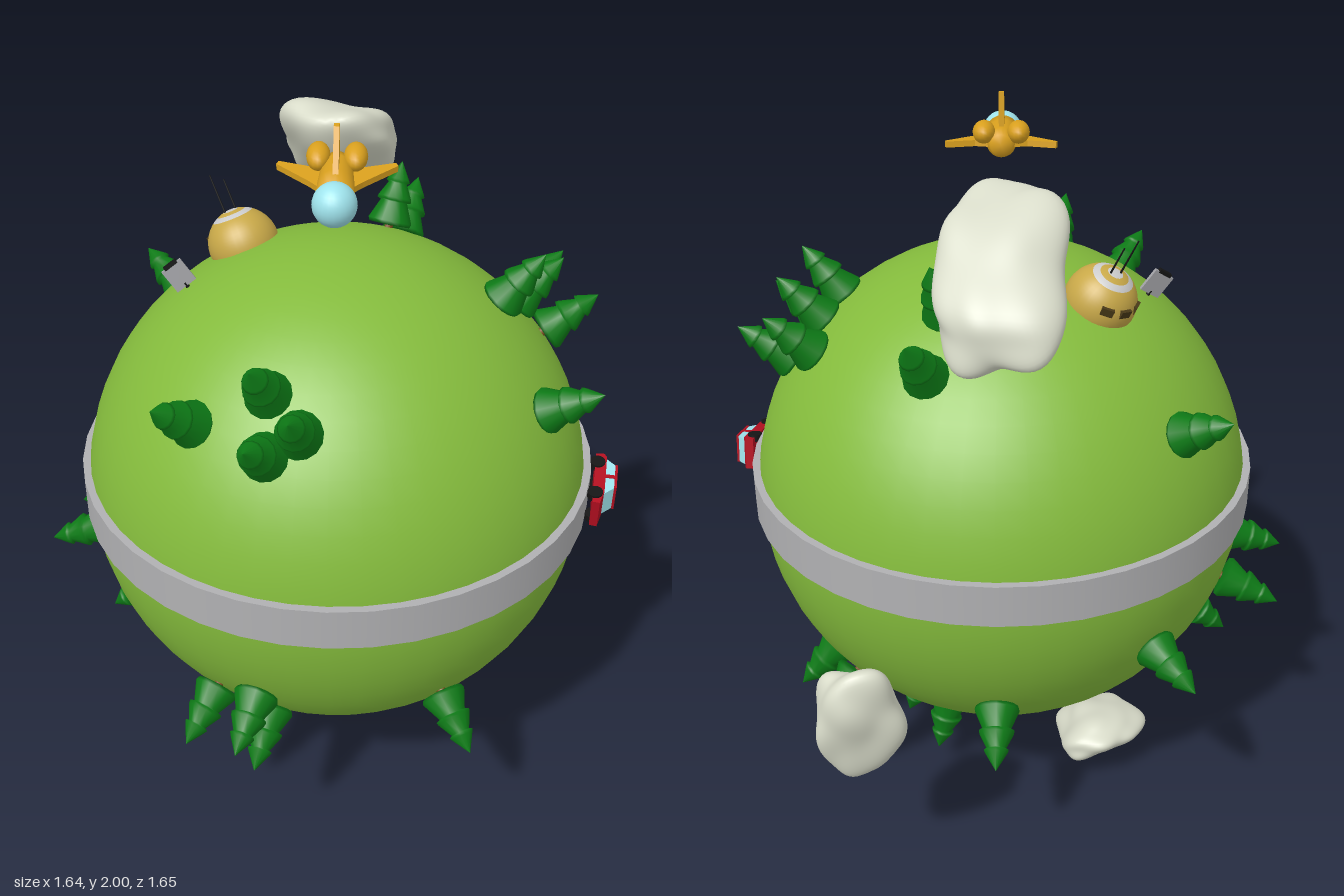
import * as THREE from 'three';
import { mergeVertices } from 'three/addons/utils/BufferGeometryUtils.js';

const R = 0.705;
const UP = new THREE.Vector3(0, 1, 0);
const mat = (color, extra = {}) => new THREE.MeshStandardMaterial({ color, ...extra });
const M = {
  grass: mat(0x84bb3c), road: mat(0xb0b0b2), leaf: mat(0x0d7a16), bark: mat(0x7a4a1e),
  cloud: mat(0xd9dcca), gold: mat(0xd9a01e), glass: mat(0x9fe3ec), red: mat(0xb30f20),
  black: mat(0x151515), sand: mat(0xc8a848), white: mat(0xdadad6), grey: mat(0xa2a2a6), dark: mat(0x4a3a18),
};

function add(parent, name, geo, material, x = 0, y = 0, z = 0) {
  const m = new THREE.Mesh(geo, material);
  m.name = name;
  m.position.set(x, y, z);
  parent.add(m);
  return m;
}

function group(parent, name) {
  const g = new THREE.Group();
  g.name = name;
  parent.add(g);
  return g;
}

// Stand an object on the globe, its y axis pointing away from the centre
function stand(obj, dir, radius, twist = 0) {
  const d = new THREE.Vector3(...dir).normalize();
  obj.quaternion.setFromUnitVectors(UP, d);
  obj.rotateY(twist);
  obj.position.copy(d).multiplyScalar(radius);
  return obj;
}

const lathe = (pts, seg) => new THREE.LatheGeometry(pts.map(p => new THREE.Vector2(...p)), seg);
const shape = pts => new THREE.Shape(pts.map(p => new THREE.Vector2(...p)));

// Side profile given as (z, y), extruded across x
function sideProfile(pts, width) {
  const g = new THREE.ExtrudeGeometry(shape(pts), { depth: width, bevelEnabled: false });
  return g.translate(0, 0, -width / 2).rotateY(-Math.PI / 2);
}

// Lumpy boulder-like cloud: a sphere pushed out by seeded rounded bumps
function cloudGeometry(seed, sx, sy, sz) {
  let s = seed;
  const rnd = () => (s = (s * 16807) % 2147483647) / 2147483647;
  const bumps = Array.from({ length: 34 }, () => ({
    d: new THREE.Vector3(rnd() - 0.5, rnd() - 0.5, rnd() - 0.5).normalize(), h: 0.06 + 0.13 * rnd(),
  }));
  let g = new THREE.IcosahedronGeometry(1, 14);
  g.deleteAttribute('uv');
  g.deleteAttribute('normal');
  g = mergeVertices(g);
  const p = g.attributes.position, v = new THREE.Vector3();
  for (let i = 0; i < p.count; i++) {
    v.fromBufferAttribute(p, i).normalize();
    let r = 0.84;
    for (const b of bumps) r += b.h * Math.exp((v.dot(b.d) - 1) * 14);
    p.setXYZ(i, v.x * r * sx, v.y * r * sy, v.z * r * sz);
  }
  g.computeVertexNormals();
  return g;
}

function addCar(world) {
  const car = stand(group(world, 'car'), [0.99, 0, 0.155], 0.715);
  car.position.y += 0.03;
  add(car, 'carBody', sideProfile([[-0.095, 0.015], [0.095, 0.015], [0.097, 0.036], [0.05, 0.046],
    [-0.085, 0.046], [-0.097, 0.038]], 0.094), M.red);
  add(car, 'carWindows', sideProfile([[-0.085, 0.044], [0.055, 0.044], [0.025, 0.074], [-0.06, 0.074]], 0.08), M.glass);
  add(car, 'carRoof', new THREE.BoxGeometry(0.084, 0.007, 0.09), M.red, 0, 0.075, -0.017);
  for (const x of [-1, 1]) {
    add(car, 'doorPillar', new THREE.BoxGeometry(0.006, 0.03, 0.012), M.red, x * 0.039, 0.06, -0.015);
    for (const z of [-0.06, 0.06]) {
      add(car, 'wheel', new THREE.CylinderGeometry(0.021, 0.021, 0.02, 16).rotateZ(Math.PI / 2), M.black, x * 0.043, 0.021, z);
    }
  }
}

function addShip(world) {
  const ship = group(world, 'spaceship');
  ship.position.set(0, 0.965, 0.145);
  ship.rotation.x = 0.1;
  add(ship, 'fuselage', lathe([[0, -0.1], [0.028, -0.1], [0.04, -0.06], [0.046, 0.02], [0.048, 0.09], [0, 0.1]], 20)
    .rotateX(Math.PI / 2), M.gold);
  add(ship, 'cockpit', new THREE.SphereGeometry(0.055, 24, 16), M.glass, 0, 0, 0.105);
  add(ship, 'tailFin', sideProfile([[0.06, 0.03], [-0.035, 0.13], [-0.052, 0.13], [-0.05, 0.03]], 0.014), M.gold);
  for (const s of [-1, 1]) {
    const wing = new THREE.ExtrudeGeometry(shape([[0.02, 0.06], [0.065, 0.01], [0.15, -0.07], [0.145, -0.085],
      [0.07, -0.062], [0.02, -0.075]].map(([x, z]) => [s * x, z])), { depth: 0.016, bevelEnabled: false });
    add(ship, 'wing', wing.rotateX(Math.PI / 2), M.gold, 0, 0.006, 0);
    add(ship, 'engine', new THREE.SphereGeometry(0.03, 16, 12).scale(1, 1, 1.7), M.gold, s * 0.046, 0.03, -0.07);
  }
}

function addDomeHouse(world) {
  const house = stand(group(world, 'domeHouse'), [-0.265, 0.63, -0.175], 0.705);
  // Coloured bands from the crown down
  [[0, 0.22, M.white], [0.22, 0.2, M.sand], [0.42, 0.2, M.white], [0.62, 1.2, M.sand]].forEach(([t, len, m]) =>
    add(house, 'domeBand', new THREE.SphereGeometry(0.098, 32, 12, 0, Math.PI * 2, t, len), m));
  for (const [x, z, h] of [[-0.014, 0.008, 0.115], [0.014, -0.008, 0.09]]) {
    add(house, 'antenna', new THREE.CylinderGeometry(0.002, 0.003, h, 6), M.black, x, 0.09 + h / 2, z);
  }
  for (const a of [-0.6, 0, 0.6]) {
    const holder = group(house, 'window');
    holder.rotation.y = Math.PI + 0.66 + a;
    add(holder, 'windowPane', new THREE.BoxGeometry(0.034, 0.022, 0.012), M.dark, 0, 0.035, 0.089);
  }
}

function addHangar(world) {
  const hangar = stand(group(world, 'hangar'), [-0.41, -0.595, 0.04], 0.66, 0.3);
  const arch = new THREE.Shape();
  arch.moveTo(0.092, 0);
  arch.absarc(0, 0, 0.092, 0, Math.PI, false);
  arch.lineTo(-0.08, 0);
  arch.absarc(0, 0, 0.08, Math.PI, 0, true);
  add(hangar, 'hangarShell', new THREE.ExtrudeGeometry(arch, { depth: 0.17, bevelEnabled: false, curveSegments: 24 })
    .translate(0, 0, -0.085), M.sand);
  add(hangar, 'hangarEndWalls', new THREE.CylinderGeometry(0.082, 0.082, 0.15, 24, 1, false, -Math.PI / 2, Math.PI)
    .rotateX(-Math.PI / 2), mat(0xc8a848, { side: THREE.DoubleSide }));
}

export function createModel() {
  const model = new THREE.Group();
  model.name = 'tinyPlanet';
  const world = group(model, 'world');
  world.position.set(0.025, 0.905, 0.055);

  // Globe and the road around its waist
  add(world, 'globe', new THREE.SphereGeometry(R, 48, 32), M.grass);
  add(world, 'road', lathe([[0.68, -0.03], [0.72, -0.03], [0.72, -0.03], [0.72, 0.09], [0.72, 0.09], [0.68, 0.09]], 40), M.road);

  // Trees, by direction from the globe's centre
  const leaves = lathe([[0, 0.015], [0.058, 0.018], [0.062, 0.028], [0.038, 0.082], [0.049, 0.086], [0.047, 0.094],
    [0.026, 0.134], [0.034, 0.138], [0.03, 0.146], [0, 0.195]], 14);
  const trunk = new THREE.CylinderGeometry(0.012, 0.014, 0.06, 8);
  [
    [-0.42, 0.55, 0.545], [-0.185, 0.663, 0.548], [-0.19, 0.53, 0.676], [-0.09, 0.59, 0.646],
    [0.545, 0.711, 0.005], [0.602, 0.652, -0.085], [0.618, 0.595, -0.232], [0.708, 0.519, -0.12], [0.68, 0.475, 0.313],
    [0.165, 0.785, -0.36], [0.215, 0.652, -0.545], [-0.588, 0.435, -0.498], [-0.527, -0.29, -0.655],
    [-0.842, -0.26, 0.035], [-0.795, -0.3, -0.205], [-0.69, -0.55, 0],
    [-0.38, -0.45, 0.66], [-0.235, -0.37, 0.77], [-0.195, -0.49, 0.72], [0.385, -0.458, 0.66],
    [0.59, -0.605, -0.215], [0.51, -0.57, -0.45], [0, -0.478, -0.735],
    [0.125, -0.87, -0.015], [0.295, -0.835, 0.069], [0.295, -0.835, -0.075], [0.19, -0.828, -0.259],
  ].forEach((dir, i) => {
    const tree = stand(group(world, 'tree'), dir, 0.695, i);
    add(tree, 'foliage', leaves, M.leaf);
    add(tree, 'trunk', trunk, M.bark, 0, 0, 0);
  });

  // Floating clouds: seed, half sizes, position, rotation
  [
    [11, [0.175, 0.1, 0.26], [0, 0.805, -0.465], [-0.62, 0, 0]],
    [57, [0.12, 0.175, 0.09], [0.355, -0.28, -0.775], [-0.22, 0.3, 0]],
    [301, [0.125, 0.072, 0.165], [-0.305, -0.795, -0.195], [0.35, 0, -0.35]],
  ].forEach(([seed, size, pos, rot]) => {
    add(world, 'cloud', cloudGeometry(seed * 7919, ...size), M.cloud, ...pos).rotation.set(...rot);
  });

  // Signboard on a short post
  const sign = stand(group(world, 'signboard'), [-0.42, 0.605, -0.015], 0.7, 0.3);
  add(sign, 'signPanel', new THREE.BoxGeometry(0.062, 0.07, 0.01), M.grey, 0, 0.045, 0);
  add(sign, 'signTop', new THREE.BoxGeometry(0.04, 0.01, 0.014), M.black, 0, 0.082, 0);
  add(sign, 'signPost', new THREE.CylinderGeometry(0.006, 0.006, 0.04, 8), M.black, 0, 0, 0);

  addDomeHouse(world);
  addHangar(world);
  addCar(world);
  addShip(world);
  return model;
}
